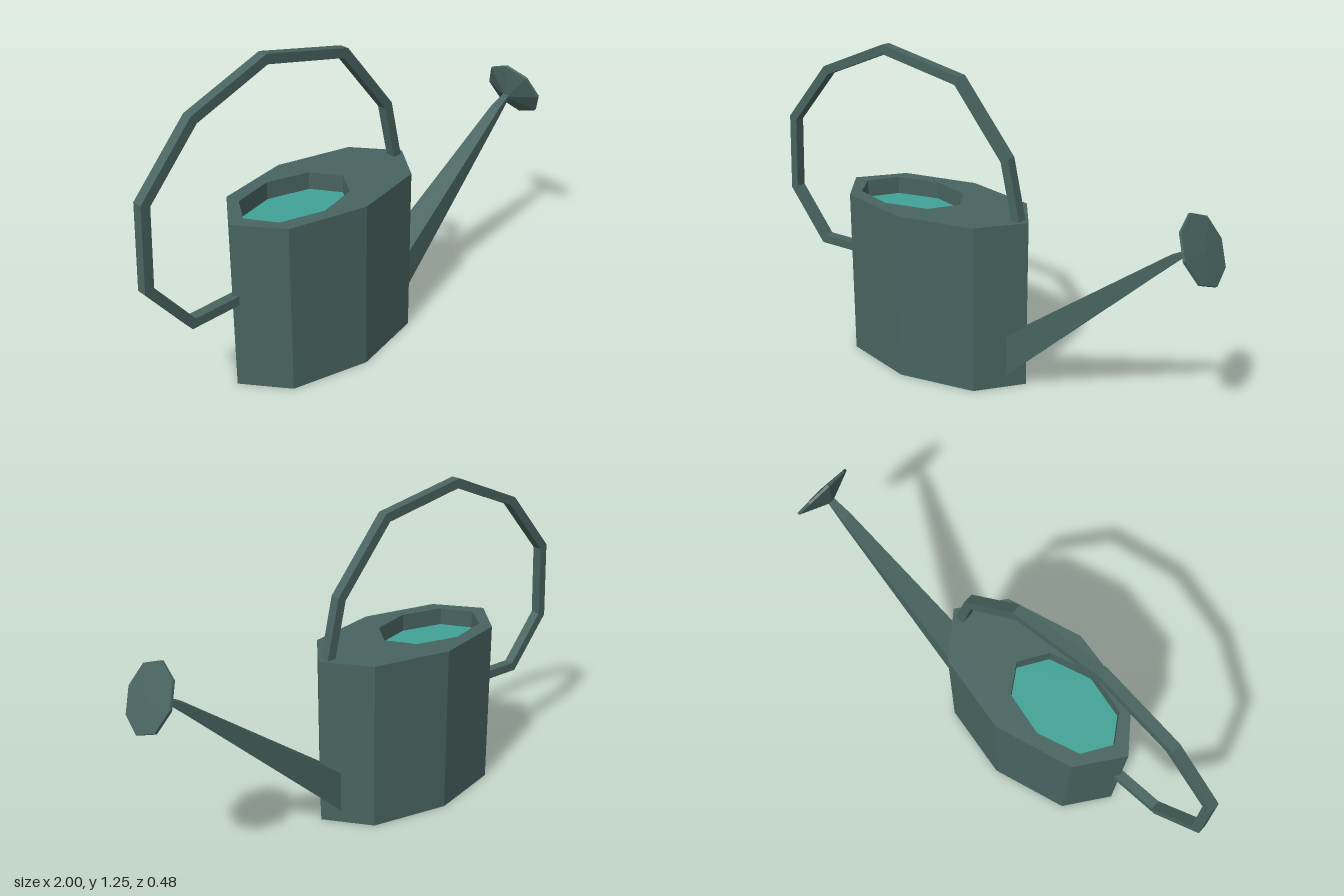
import * as THREE from 'three';

const GREEN = 0x486460, WATER = 0x42a296;

function mat(color, side = THREE.FrontSide) {
  const m = new THREE.MeshStandardMaterial({ color, flatShading: true });
  m.side = side;
  return m;
}

function add(parent, name, geometry, material) {
  const mesh = new THREE.Mesh(geometry, material);
  mesh.name = name;
  parent.add(mesh);
  return mesh;
}

// Eight corners of a stretched octagon
function octagon(cx, rx, rz) {
  return Array.from({ length: 8 }, (_, i) => {
    const a = i * Math.PI / 4;
    return new THREE.Vector2(cx + rx * Math.cos(a), rz * Math.sin(a));
  });
}

function wall(cx, rx, rz, y0, y1) {
  return new THREE.CylinderGeometry(1, 1, y1 - y0, 8, 1, true)
    .scale(rx, 1, rz).translate(cx, (y0 + y1) / 2, 0);
}

// Flat outline of a mitred strip that follows a polyline
function strip(points, halfWidth) {
  const p = points.map(([x, y]) => new THREE.Vector2(x, y));
  const normal = (a, b) => {
    const d = b.clone().sub(a).normalize();
    return new THREE.Vector2(-d.y, d.x);
  };
  const left = [], right = [];
  p.forEach((q, i) => {
    const n0 = normal(p[Math.max(i - 1, 0)], p[Math.max(i, 1)]);
    const last = p.length - 1;
    const n1 = normal(p[Math.min(i, last - 1)], p[Math.min(i + 1, last)]);
    const m = n0.clone().add(n1).normalize();
    m.multiplyScalar(halfWidth / m.dot(n0));
    left.push(q.clone().add(m));
    right.unshift(q.clone().sub(m));
  });
  return new THREE.Shape([...left, ...right]);
}

// Four-sided loft; each section is [x, bottom, top, halfWidth]
function loft(sections) {
  const pos = [], idx = [];
  sections.forEach(([x, b, t, w]) => pos.push(x, b, w, x, b, -w, x, t, -w, x, t, w));
  for (let s = 0; s < sections.length - 1; s++) {
    for (let k = 0; k < 4; k++) {
      const a = s * 4 + k, b = s * 4 + (k + 1) % 4;
      idx.push(a, b, b + 4, a, b + 4, a + 4);
    }
  }
  const e = (sections.length - 1) * 4;
  idx.push(0, 2, 1, 0, 3, 2, e, e + 1, e + 2, e, e + 2, e + 3);
  const g = new THREE.BufferGeometry();
  g.setAttribute('position', new THREE.Float32BufferAttribute(pos, 3));
  g.setIndex(idx);
  g.computeVertexNormals();
  return g;
}

export function createModel() {
  const model = new THREE.Group();
  model.name = 'wateringCan';
  const green = mat(GREEN);

  // Tank: eight-sided walls, base and lid with a filling hole
  const tank = new THREE.Group();
  tank.name = 'tank';
  model.add(tank);
  const H = 0.67, waterY = 0.6;
  const body = [-0.197, 0.434, 0.24], hole = [-0.325, 0.24, 0.157];
  add(tank, 'tankWall', wall(...body, 0, H), green);
  add(tank, 'tankBase', new THREE.ShapeGeometry(new THREE.Shape(octagon(...body))).rotateX(Math.PI / 2), green);
  const lid = new THREE.Shape(octagon(...body));
  lid.holes.push(new THREE.Path(octagon(...hole)));
  add(tank, 'tankLid', new THREE.ShapeGeometry(lid).rotateX(-Math.PI / 2).translate(0, H, 0), green);
  add(tank, 'holeWall', wall(...hole, waterY, H), mat(GREEN, THREE.BackSide));

  // Water surface just below the lid
  const water = new THREE.ShapeGeometry(new THREE.Shape(octagon(...hole)));
  add(model, 'water', water.rotateX(-Math.PI / 2).translate(0, waterY, 0), mat(WATER));

  // Handle: angular hoop of square bar, from the rear wall to the lid
  const path = [
    [-0.6, 0.365], [-0.815, 0.36], [-0.98, 0.563], [-0.965, 0.872], [-0.757, 1.105],
    [-0.445, 1.23], [-0.083, 1.16], [0.138, 0.895], [0.2, 0.63],
  ];
  const hoop = new THREE.ExtrudeGeometry(strip(path, 0.018), { depth: 0.04, bevelEnabled: false });
  add(model, 'handle', hoop.translate(0, 0, -0.02), green);

  // Spout: tapering square tube
  add(model, 'spout', loft([
    [0.15, 0.013, 0.184, 0.067],
    [0.813, 0.641, 0.684, 0.022],
    [0.893, 0.715, 0.728, 0.014],
  ]), green);

  // Sprinkler head: shallow eight-sided cone facing up and outward
  const head = new THREE.LatheGeometry([
    new THREE.Vector2(0, -0.06),
    new THREE.Vector2(0.131, -0.008),
    new THREE.Vector2(0.131, 0.002),
    new THREE.Vector2(0, 0.008),
  ], 8);
  head.rotateZ(-Math.atan2(0.9, 0.44)).translate(0.938, 0.738, 0);
  add(model, 'sprinklerHead', head, green);

  return model;
}
